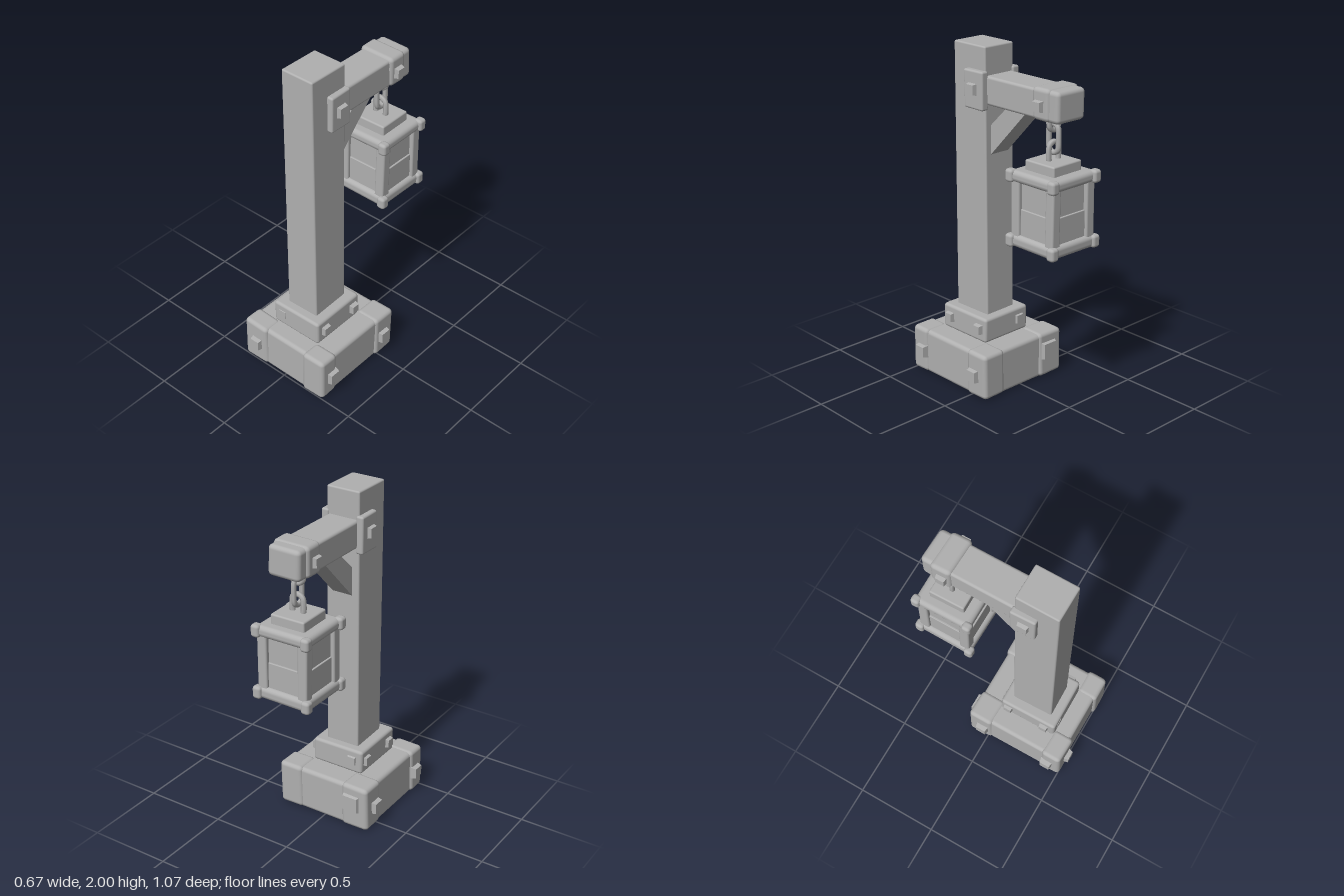
import * as THREE from 'three';
import { RoundedBoxGeometry } from 'three/addons/geometries/RoundedBoxGeometry.js';

export function createModel() {
  const model = new THREE.Group();
  const stone = new THREE.MeshStandardMaterial({ color: 0xb0b0b0 });
  stone.name = 'plain grey';

  const add = (name, geometry, parent = model) => {
    const mesh = new THREE.Mesh(geometry, stone);
    mesh.name = name;
    parent.add(mesh);
    return mesh;
  };

  // Slightly uneven, hand-hewn block given by its min and max extents
  const block = (name, [x0, x1], [y0, y1], [z0, z1], radius = 0.015, wobble = 0.003, parent = model) => {
    const g = new RoundedBoxGeometry(x1 - x0, y1 - y0, z1 - z0, 2, radius);
    g.translate((x0 + x1) / 2, (y0 + y1) / 2, (z0 + z1) / 2);
    const p = g.attributes.position;
    for (let i = 0; i < p.count; i++) {
      const x = p.getX(i), y = p.getY(i), z = p.getZ(i);
      p.setX(i, x + wobble * Math.sin(9 * y + 13 * z));
      p.setZ(i, z + wobble * Math.sin(11 * x + 7 * y));
    }
    return add(name, g, parent);
  };

  // Square stud tapering outward; axis is the direction it points
  const stud = (name, at, axis, size = 0.07, depth = 0.035) => {
    const g = new THREE.CylinderGeometry(size * 0.6, size * 0.72, depth, 4).toNonIndexed();
    g.rotateY(Math.PI / 4);
    g.computeVertexNormals();
    const mesh = add(name, g);
    mesh.position.set(...at);
    mesh.quaternion.setFromUnitVectors(new THREE.Vector3(0, 1, 0), new THREE.Vector3(...axis));
    return mesh;
  };

  // Base with thicker corner stones
  block('base', [-0.295, 0.295], [0, 0.275], [-0.115, 0.495], 0.025);
  for (const s of [-1, 1]) {
    const xr = s < 0 ? [-0.307, -0.13] : [0.15, 0.307];
    block('baseBackCorner', xr, [0.004, 0.282], [-0.128, 0.03], 0.025);
    block('baseFrontCorner', xr, [0.004, 0.282], [0.38, 0.508], 0.025);
    stud('baseSideStud', [s * 0.317, 0.14, 0.42], [s, 0, 0], 0.075);
    stud('baseSideStud', [s * 0.317, 0.14, -0.035], [s, 0, 0], 0.075);
  }
  stud('baseFrontStud', [-0.205, 0.145, 0.517], [0, 0, 1]);
  stud('baseBackStud', [-0.2, 0.17, -0.133], [0, 0, -1], 0.11, 0.03);

  // Collar around the foot of the post
  block('collar', [-0.172, 0.166], [0.27, 0.42], [0.022, 0.388], 0.018);
  for (const s of [-1, 1]) {
    for (const z of [0.075, 0.32]) stud('collarStud', [s * 0.177, 0.35, z], [s, 0, 0], 0.056, 0.03);
  }
  stud('collarFrontStud', [-0.105, 0.35, 0.387], [0, 0, 1], 0.055, 0.012);
  stud('collarBackStud', [-0.105, 0.35, 0.018], [0, 0, -1], 0.055, 0.012);

  // Post and the plates that clamp the arm
  block('post', [-0.108, 0.104], [0.4, 2], [0.075, 0.33], 0.01);
  for (const s of [-1, 1]) {
    block('clampPlate', s < 0 ? [-0.138, -0.09] : [0.09, 0.138], [1.645, 1.865], [0.065, 0.215], 0.012);
    stud('clampStud', [s * 0.147, 1.76, 0.145], [s, 0, 0], 0.065, 0.025);
  }

  // Arm with a heavier end
  block('arm', [-0.1, 0.1], [1.675, 1.838], [-0.44, 0.1], 0.016);
  block('armEnd', [-0.103, 0.103], [1.67, 1.845], [-0.48, -0.3], 0.025);
  block('armBand', [-0.115, 0.115], [1.672, 1.852], [-0.42, -0.295], 0.025);
  for (const s of [-1, 1]) stud('armStud', [s * 0.125, 1.755, -0.35], [s, 0, 0], 0.06, 0.03);

  // Slanted brace, drawn in the side plane and extruded across x
  const outline = new THREE.Shape([[-0.09, 1.37], [-0.09, 1.54], [0.06, 1.685], [0.21, 1.685]]
    .map(([a, b]) => new THREE.Vector2(a, b)));
  const brace = new THREE.ExtrudeGeometry(outline, { depth: 0.13, bevelEnabled: false });
  brace.translate(0, 0, -0.065);
  brace.rotateY(Math.PI / 2);
  add('brace', brace);

  // Chain links, alternating in direction
  const linkGeometry = (w, h) => {
    const points = [];
    for (let i = 0; i < 12; i++) {
      const a = (i / 12) * Math.PI * 2;
      points.push(new THREE.Vector3(Math.cos(a) * w, Math.sin(a) * w + Math.sign(Math.round(Math.sin(a) * 9)) * (h - w), 0));
    }
    return new THREE.TubeGeometry(new THREE.CatmullRomCurve3(points, true), 28, 0.016, 6, true);
  };
  [[1.665, 0.06, 0], [1.56, 0.08, 1], [1.475, 0.065, 0]].forEach(([y, h, turned]) => {
    const link = add('chainLink', linkGeometry(0.037, h));
    link.position.set(0, y, -0.35);
    link.rotation.y = turned * Math.PI / 2;
  });

  // Lantern
  const lantern = new THREE.Group();
  lantern.name = 'lantern';
  lantern.position.z = -0.348;
  model.add(lantern);
  const slab = (name, half, y, r) => block(name, [-half, half], y, [-half, half], r, 0.002, lantern);
  slab('lanternBottom', 0.172, [0.94, 1.015], 0.028);
  slab('lanternTop', 0.172, [1.315, 1.383], 0.028);
  slab('lanternCap', 0.108, [1.37, 1.44], 0.01);
  slab('lanternCore', 0.138, [1, 1.33], 0.008);
  for (const sx of [-1, 1]) {
    for (const sz of [-1, 1]) {
      const span = (s) => (s < 0 ? [-0.162, -0.1] : [0.1, 0.162]);
      block('lanternPost', span(sx), [0.99, 1.34], span(sz), 0.012, 0.002, lantern);
      // Flared knobs on the corners of both slabs
      for (const y of [0.977, 1.35]) {
        const knob = add('lanternCorner', new RoundedBoxGeometry(0.055, 0.075, 0.055, 2, 0.018), lantern);
        knob.position.set(sx * 0.16, y, sz * 0.16);
      }
    }
  }
  // Lower panes on each side
  for (let i = 0; i < 4; i++) {
    const side = new THREE.Group();
    side.name = 'lanternSide';
    side.rotation.y = i * Math.PI / 2;
    lantern.add(side);
    block('lowerPane', [-0.1, 0.1], [1.01, 1.165], [0.13, 0.147], 0.004, 0, side);
  }

  return model;
}
